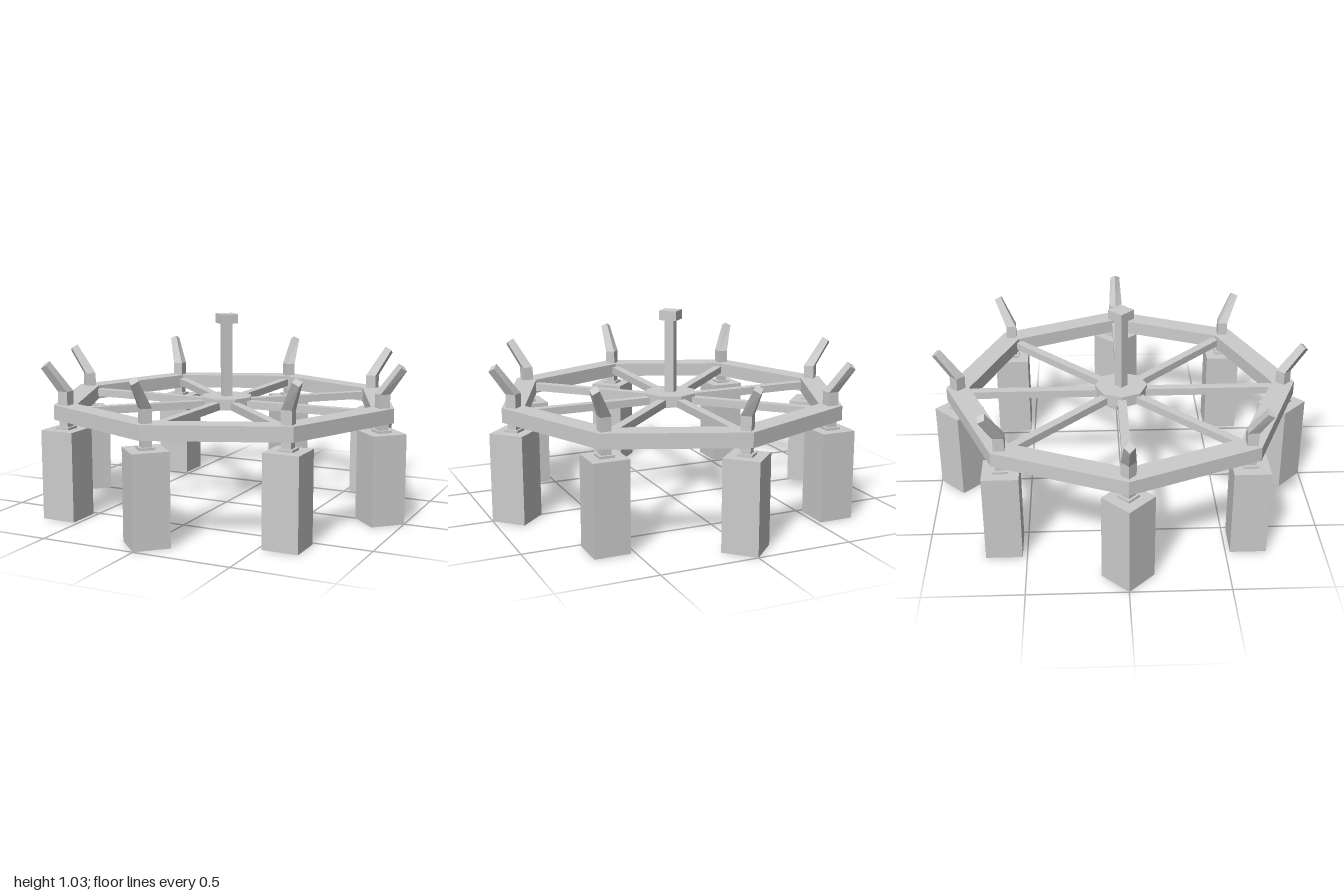
import * as THREE from 'three';

const material = new THREE.MeshStandardMaterial({ color: 0xcccccc, flatShading: true });

function addPart(parent, name, geometry, x = 0, y = 0, z = 0) {
  const mesh = new THREE.Mesh(geometry, material);
  mesh.name = name;
  mesh.position.set(x, y, z);
  parent.add(mesh);
  return mesh;
}

// Upright prism standing on y = 0, with its corners on the axes
function prism(radius, height, sides = 4) {
  return new THREE.CylinderGeometry(radius, radius, height, sides).translate(0, height / 2, 0);
}

function octagon(radius, PathType) {
  const path = new PathType();
  for (let i = 0; i < 8; i++) {
    const a = (i * Math.PI) / 4;
    path[i ? 'lineTo' : 'moveTo'](radius * Math.cos(a), radius * Math.sin(a));
  }
  path.closePath();
  return path;
}

// Four-sided bent bar through sections { x, y, dx, dy, w }:
// centre, half-diagonal along the bend plane, half-width across it
function bentBar(sections) {
  const rings = sections.map(({ x, y, dx, dy, w }) => [
    [x + dx, y + dy, 0], [x, y, w], [x - dx, y - dy, 0], [x, y, -w],
  ]);
  const points = [];
  for (let s = 0; s < rings.length - 1; s++) {
    const a = rings[s], b = rings[s + 1];
    for (let i = 0; i < 4; i++) {
      const j = (i + 1) % 4;
      points.push(a[i], b[i], a[j], b[i], b[j], a[j]);
    }
  }
  const first = rings[0], last = rings[rings.length - 1];
  points.push(last[0], last[2], last[1], last[0], last[3], last[2]);
  points.push(first[0], first[1], first[2], first[0], first[2], first[3]);
  const geometry = new THREE.BufferGeometry();
  geometry.setAttribute('position', new THREE.Float32BufferAttribute(points.flat(), 3));
  geometry.computeVertexNormals();
  return geometry;
}

export function createModel() {
  const model = new THREE.Group();
  model.name = 'octagonalFrame';

  // Mitred octagonal ring
  const ringShape = octagon(0.932, THREE.Shape);
  ringShape.holes.push(octagon(0.81, THREE.Path));
  const ring = new THREE.ExtrudeGeometry(ringShape, { depth: 0.075, bevelEnabled: false });
  addPart(model, 'ring', ring.rotateX(-Math.PI / 2), 0, 0.515, 0);

  // Hub with central post and cap
  addPart(model, 'hub', prism(0.14, 0.06, 8), 0, 0.53, 0);
  addPart(model, 'centrePost', prism(0.035, 0.39), 0, 0.59, 0);
  addPart(model, 'postCap', prism(0.067, 0.05), 0, 0.98, 0);

  const block = prism(0.13, 0.465);
  const plate = prism(0.054, 0.012);
  const neck = prism(0.035, 0.042);
  const spoke = new THREE.BoxGeometry(0.72, 0.04, 0.046);
  const arm = bentBar([
    { x: 0.87, y: 0.585, dx: 0.04, dy: 0, w: 0.038 },
    { x: 0.87, y: 0.66, dx: 0.04, dy: 0, w: 0.038 },
    { x: 0.97, y: 0.80, dx: 0.022, dy: -0.018, w: 0.027 },
  ]);

  // One spoke, hanging block and flared arm at each ring corner
  for (let i = 0; i < 8; i++) {
    const bay = new THREE.Group();
    bay.name = `bay${i + 1}`;
    bay.rotation.y = (i * Math.PI) / 4;
    addPart(bay, 'spoke', spoke, 0.46, 0.552, 0);
    addPart(bay, 'block', block, 0.87, 0, 0);
    addPart(bay, 'plate', plate, 0.87, 0.465, 0);
    addPart(bay, 'neck', neck, 0.87, 0.475, 0);
    addPart(bay, 'arm', arm);
    model.add(bay);
  }
  return model;
}
